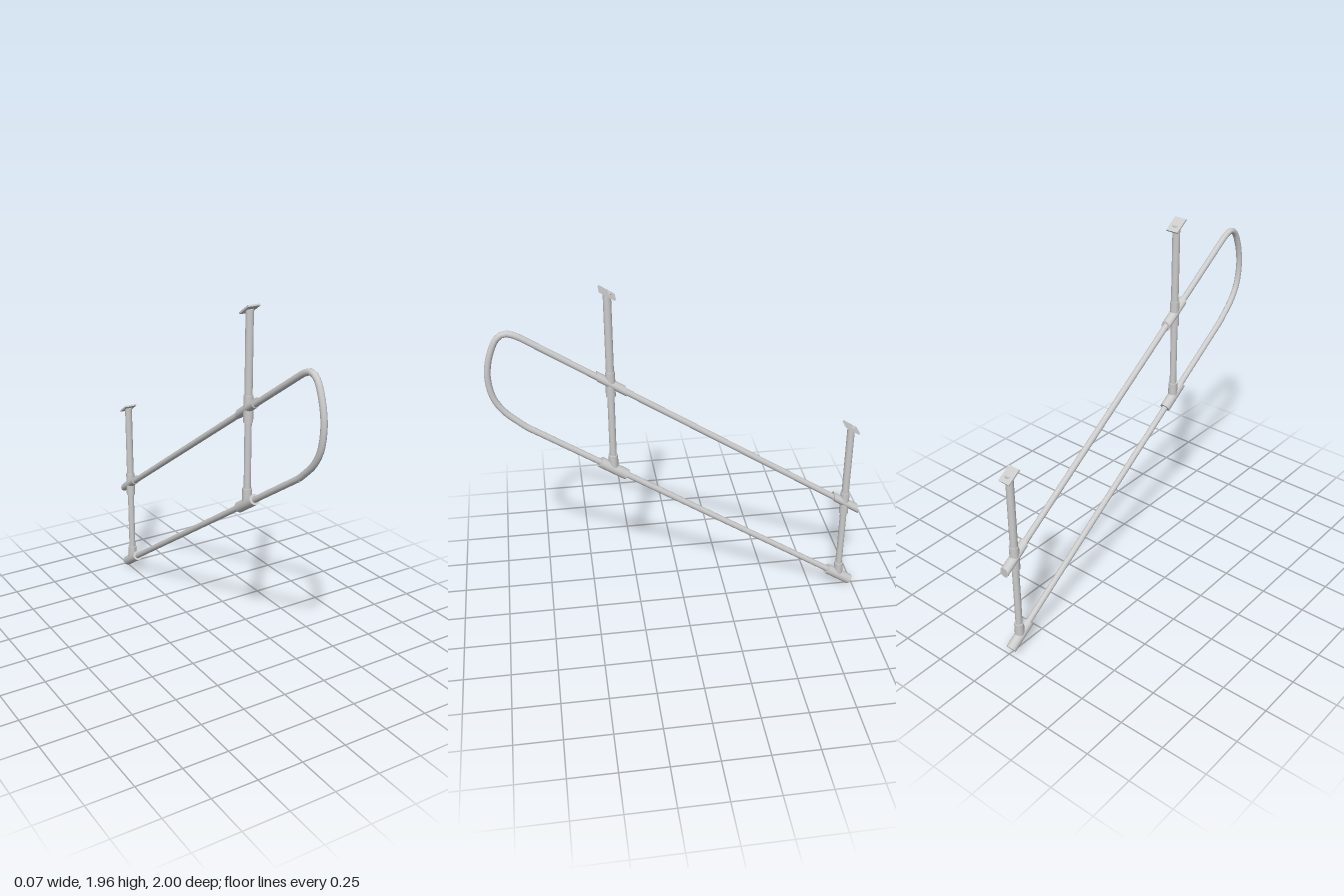
import * as THREE from 'three';

const SLOPE = 0.666;
const ANGLE = Math.atan(SLOPE);
const upperY = (z) => 1.195 + SLOPE * z;
const lowerY = (z) => 0.687 + SLOPE * z;
const RAIL_R = 0.0165;

export function createModel() {
  const root = new THREE.Group();
  const mat = new THREE.MeshStandardMaterial({ color: 0xcccccc });

  const add = (parent, name, geo, y = 0, z = 0, tilt = 0) => {
    const mesh = new THREE.Mesh(geo, mat);
    mesh.name = name;
    mesh.position.set(0, y, z);
    mesh.rotation.x = tilt;
    parent.add(mesh);
    return mesh;
  };
  // Upright tube between two heights
  const upright = (parent, name, r, y0, y1, z) =>
    add(parent, name, new THREE.CylinderGeometry(r, r, y1 - y0, 16), (y0 + y1) / 2, z);
  // Cylinder lying along z
  const along = (r, len) => new THREE.CylinderGeometry(r, r, len, 16).rotateX(Math.PI / 2);
  // Straight sloping rail between two z positions
  const rail = (name, lineY, z0, z1) => {
    const zm = (z0 + z1) / 2;
    add(root, name, along(RAIL_R, (z1 - z0) / Math.cos(ANGLE)), lineY(zm), zm, -ANGLE);
  };

  // Handrails
  rail('upperRail', upperY, -0.97, 0.78);
  rail('lowerRail', lowerY, -0.96, 0.81);

  // Rounded return joining the two rails
  const bend = new THREE.CatmullRomCurve3([
    [0.74, upperY(0.74)], [0.78, upperY(0.78)], [0.83, 1.745], [0.88, 1.76], [0.92, 1.738],
    [0.953, 1.675], [0.975, 1.6], [0.983, 1.52], [0.965, 1.41], [0.915, 1.325],
    [0.85, 1.262], [0.81, lowerY(0.81)], [0.77, lowerY(0.77)],
  ].map(([z, y]) => new THREE.Vector3(0, y, z)));
  add(root, 'railReturn', new THREE.TubeGeometry(bend, 28, RAIL_R, 16));

  // Hanger posts with their fittings
  for (const [z, top] of [[0.375, 1.942], [-0.915, 1.075]]) {
    const post = new THREE.Group();
    post.name = 'hangerPost';
    root.add(post);
    const yu = upperY(z), yl = lowerY(z);

    upright(post, 'upperPost', 0.0205, yu, top, z);
    upright(post, 'lowerPost', 0.0185, yl, yu, z);
    add(post, 'mountingPlate', new THREE.BoxGeometry(0.07, 0.009, 0.092), top, z, -ANGLE);

    // Cross fitting: sloping sleeve is sheared so its ends stay vertical
    upright(post, 'crossCollar', 0.0255, yu - 0.07, yu + 0.07, z);
    const shear = new THREE.Matrix4().set(1, 0, 0, 0, 0, 1, SLOPE, 0, 0, 0, 1, 0, 0, 0, 0, 1);
    add(post, 'crossSleeve', along(0.027, 0.145).applyMatrix4(shear), yu, z - 0.005);

    // Tee fitting at the foot
    upright(post, 'teeCollar', 0.0255, yl, yl + 0.085, z);
    add(post, 'teeSleeve', along(0.029, 0.166), yl, z, -ANGLE);
  }
  return root;
}
